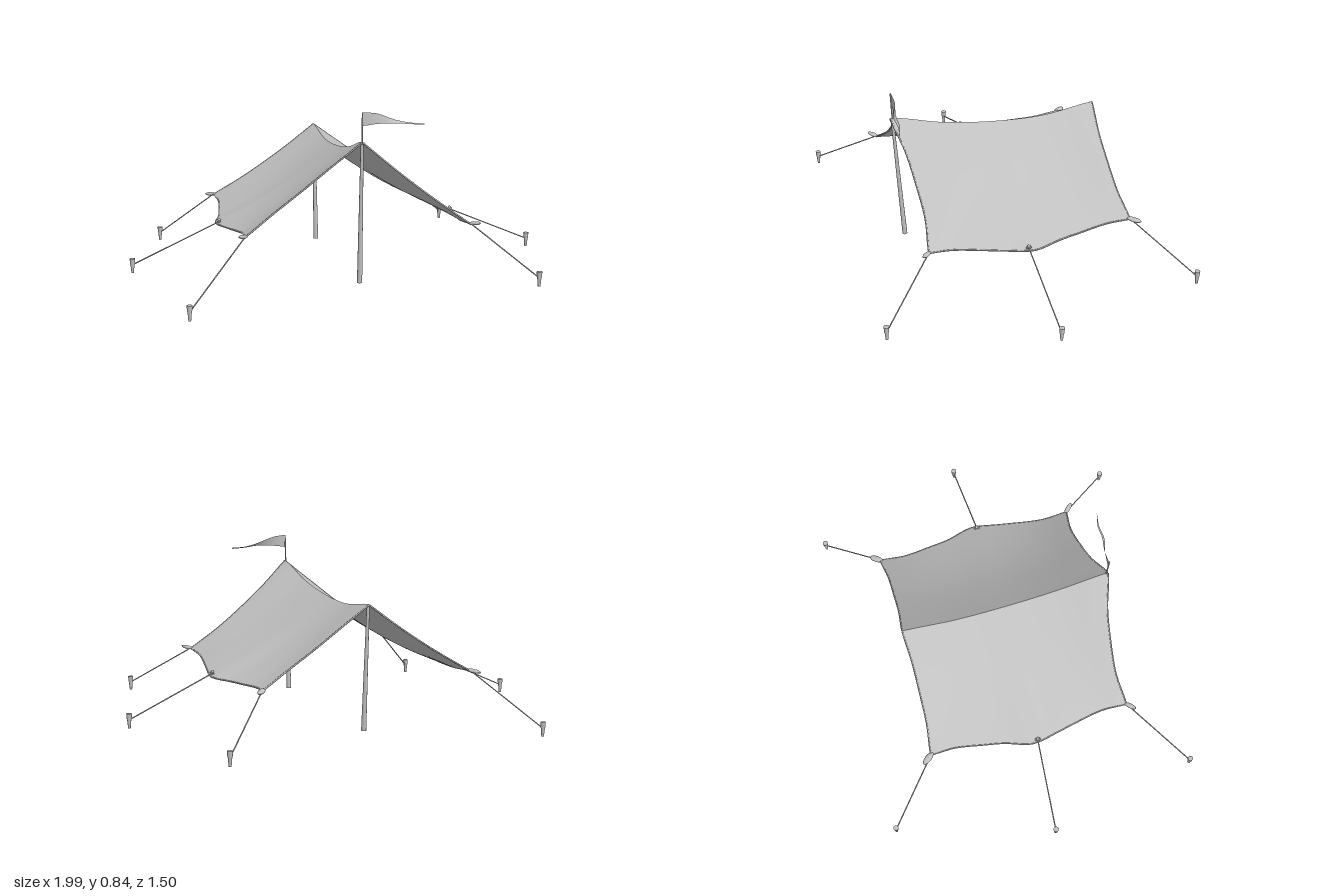
import * as THREE from 'three';

const V = (x, y, z) => new THREE.Vector3(x, y, z);
const gray = new THREE.MeshStandardMaterial({ color: 0xc0c0c0 });
gray.name = 'lightGray';
const cloth = new THREE.MeshStandardMaterial({ color: 0xc0c0c0, side: THREE.DoubleSide });
cloth.name = 'lightGrayCloth';

// Smooth value along evenly spaced samples
function profile(values) {
  const c = new THREE.SplineCurve(values.map((v, i) => new THREE.Vector2(i, v)));
  return (u) => c.getPoint(u).y;
}

// Canopy rules: t runs ridge to eave, v runs front to back
const ridgeY = profile([0.715, 0.65, 0.612, 0.602, 0.635]);
const eaveY = profile([0.305, 0.28, 0.26, 0.272, 0.29]);
const eaveX = profile([0.525, 0.52, 0.54, 0.565, 0.585, 0.55, 0.53, 0.513, 0.52]);
const frontZ = profile([0.51, 0.475, 0.46, 0.455, 0.475]);
const backZ = profile([-0.485, -0.475, -0.475, -0.478, -0.495]);

function canopyPoint(side, t, v, drop = 0) {
  const bulge = Math.sin(Math.PI * v);
  const sag = (0.012 + 0.016 * bulge) * Math.sin(Math.PI * t);
  const gap = drop * (0.005 + 0.025 * bulge * (1 - t));
  const y = THREE.MathUtils.lerp(ridgeY(v), eaveY(v), t) - sag - gap;
  return V(side * t * eaveX(v), y, THREE.MathUtils.lerp(frontZ(t), backZ(t), v));
}

// Sheet of points from a rule f(i, j)
function sheet(f, nu, nv, flip) {
  const pos = [], idx = [];
  for (let i = 0; i <= nu; i++) {
    for (let j = 0; j <= nv; j++) {
      pos.push(...f(i / nu, j / nv).toArray());
      if (i === nu || j === nv) continue;
      const a = i * (nv + 1) + j, b = a + 1, c = a + nv + 1, d = c + 1;
      if (flip) idx.push(a, b, c, b, d, c);
      else idx.push(a, c, b, b, c, d);
    }
  }
  const g = new THREE.BufferGeometry();
  g.setAttribute('position', new THREE.Float32BufferAttribute(pos, 3));
  g.setIndex(idx);
  g.computeVertexNormals();
  return g;
}

export function createModel() {
  const model = new THREE.Group();
  model.name = 'shelter';

  const add = (name, geometry, material = gray) => {
    const mesh = new THREE.Mesh(geometry, material);
    mesh.name = name;
    model.add(mesh);
    return mesh;
  };

  // Tapered rod between two points
  const rod = (name, a, b, ra, rb, sides) => {
    const mesh = add(name, new THREE.CylinderGeometry(rb, ra, a.distanceTo(b), sides));
    mesh.position.copy(a).add(b).multiplyScalar(0.5);
    mesh.quaternion.setFromUnitVectors(V(0, 1, 0), b.clone().sub(a).normalize());
    return mesh;
  };

  // Canopy halves, with lining and hem
  for (const side of [1, -1]) {
    add('canopy', sheet((t, v) => canopyPoint(side, t, v), 20, 32, side > 0), cloth);
    add('canopyLining', sheet((t, v) => canopyPoint(side, t, v, 1), 20, 32, side < 0), cloth);
    const hem = (name, f) => {
      const pts = Array.from({ length: 17 }, (_, i) => f(i / 16));
      add(name, new THREE.TubeGeometry(new THREE.CatmullRomCurve3(pts), 32, 0.004, 6));
    };
    hem('frontHem', (u) => canopyPoint(side, u, 0, 0.5));
    hem('backHem', (u) => canopyPoint(side, u, 1, 0.5));
    hem('eaveHem', (u) => canopyPoint(side, 1, u, 0.5));
  }

  // Leaning poles
  rod('frontPole', V(0, 0.055, 0.465), V(0, 0.7, 0.502), 0.012, 0.007, 10);
  rod('backPole', V(0, 0.04, -0.435), V(0, 0.625, -0.475), 0.012, 0.007, 10);

  // Flag on a short staff
  rod('flagStaff', V(0, 0.69, 0.5), V(0, 0.845, 0.506), 0.004, 0.003, 8);
  const flagTop = profile([0.845, 0.838, 0.812, 0.795, 0.79]);
  const flagBottom = profile([0.785, 0.793, 0.795, 0.789, 0.784]);
  const flagZ = profile([0.504, 0.502, 0.515, 0.514, 0.531]);
  add('flag', sheet((u, w) => V(0.28 * u,
    THREE.MathUtils.lerp(flagBottom(u), flagTop(u), w),
    flagZ(u) + 0.012 * (1 - w) * Math.sin(Math.PI * u)), 16, 3, false), cloth);

  // Guy ropes and pegs: side, position along the eave, peg top
  const guys = [
    [1, 0, V(0.765, 0.13, 0.735)], [-1, 0, V(-0.815, 0.085, 0.735)],
    [1, 0.47, V(0.985, 0.12, 0)], [-1, 0.47, V(-0.985, 0.108, 0)],
    [1, 1, V(0.765, 0.105, -0.743)], [-1, 1, V(-0.77, 0.072, -0.743)],
  ];
  for (const [side, v, top] of guys) {
    const start = canopyPoint(side, 1, v);
    const corner = v === 0 || v === 1;
    if (corner) {
      // Gathered cloth ear at the corner
      const ear = add('cornerEar', new THREE.SphereGeometry(1, 12, 8));
      const dir = V(side * 0.6, v ? -0.12 : 0.12, v ? -0.8 : 0.6).normalize();
      ear.scale.set(v ? 0.016 : 0.012, 0.009, v ? 0.036 : 0.032);
      ear.position.copy(start).addScaledVector(dir, 0.02);
      ear.lookAt(ear.position.clone().add(dir));
    } else {
      // Eyelet and knot at the middle of the eave
      start.x -= side * 0.012;
      start.y += 0.008;
      const eyelet = add('eyelet', new THREE.TorusGeometry(0.01, 0.004, 6, 14));
      eyelet.position.copy(start);
      eyelet.rotation.set(Math.PI / 2, side * 0.5, 0);
      const knot = add('knot', new THREE.SphereGeometry(0.008, 8, 6));
      knot.position.copy(start).add(V(0, 0.008, 0));
    }
    const tie = top.clone().add(V(0, -0.03, 0));
    rod('guyRope', start, tie, 0.003, 0.003, 6);

    // Peg with a wider head
    rod('pegHead', top.clone().add(V(0, -0.028, 0)), top, 0.011, 0.013, 10);
    rod('pegShaft', top.clone().add(V(0, -0.069, 0)), tie.clone().add(V(0, 0.005, 0)), 0.006, 0.01, 10);
  }

  return model;
}
